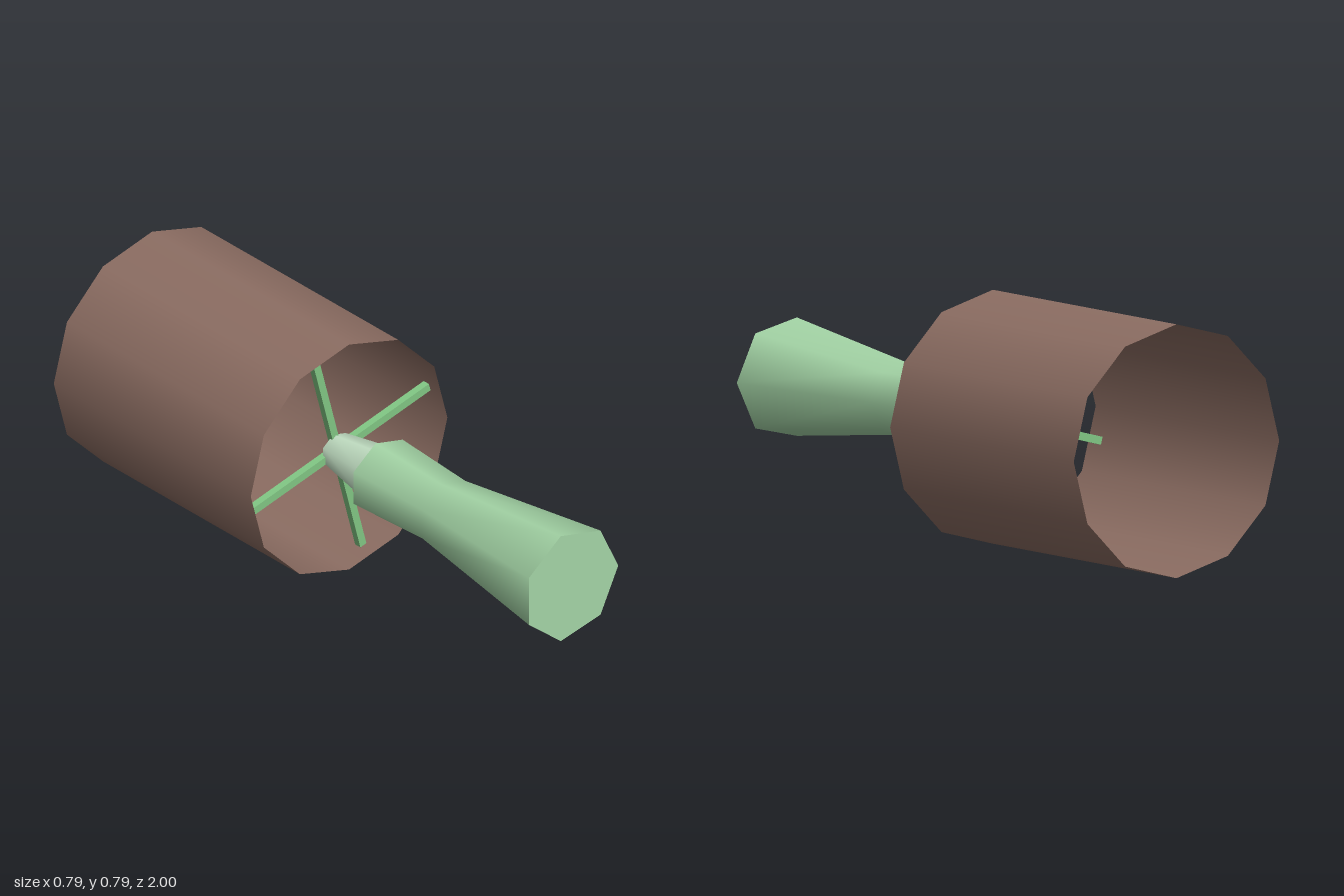
import * as THREE from 'three';

const CENTER_Y = 0.393;

function material(name, color, side = THREE.FrontSide) {
  const m = new THREE.MeshStandardMaterial({ color, side });
  m.name = name;
  return m;
}

export function createModel() {
  const brown = material('brown', 0x8d6e63, THREE.DoubleSide);
  const lightGreen = material('light green', 0xa5d6a7);
  const midGreen = material('mid green', 0x81c784);
  const paleGreen = material('pale green', 0xc8e6c9);

  const model = new THREE.Group();
  model.name = 'model';
  const body = new THREE.Group();
  body.name = 'body';
  body.position.y = CENTER_Y;
  model.add(body);

  const add = (name, geometry, mat) => {
    const mesh = new THREE.Mesh(geometry, mat);
    mesh.name = name;
    body.add(mesh);
    return mesh;
  };

  // Open twelve-sided shroud at the back
  const shroud = new THREE.CylinderGeometry(0.393, 0.393, 0.94, 12, 1, true);
  add('shroud', shroud.rotateX(Math.PI / 2).translate(0, 0, -0.53), brown);

  // Seven-sided waisted handle with flat ends
  const profile = [[0.128, 0.1], [0.114, 0.41], [0.188, 1]].map(([r, z]) => new THREE.Vector2(r, z));
  add('handle', new THREE.LatheGeometry(profile, 7, Math.PI / 2).rotateX(Math.PI / 2), lightGreen);
  add('handleFrontEnd', new THREE.CircleGeometry(0.188, 7).translate(0, 0, 1), lightGreen);
  add('handleBackEnd', new THREE.CircleGeometry(0.128, 7, Math.PI).rotateY(Math.PI).translate(0, 0, 0.1), lightGreen);

  // Tapered hub joining handle and spokes
  const hub = new THREE.CylinderGeometry(0.095, 0.059, 0.22, 7, 1, false, Math.PI / 2);
  add('hub', hub.rotateX(Math.PI / 2).translate(0, 0, -0.01), paleGreen);

  // Two crossed bars form the four spokes
  for (let i = 0; i < 2; i++) {
    const bar = add('spokeBar', new THREE.BoxGeometry(0.75, 0.025, 0.025), midGreen);
    bar.position.z = -0.12;
    bar.rotation.z = Math.PI / 12 + i * Math.PI / 2;
  }

  return model;
}
